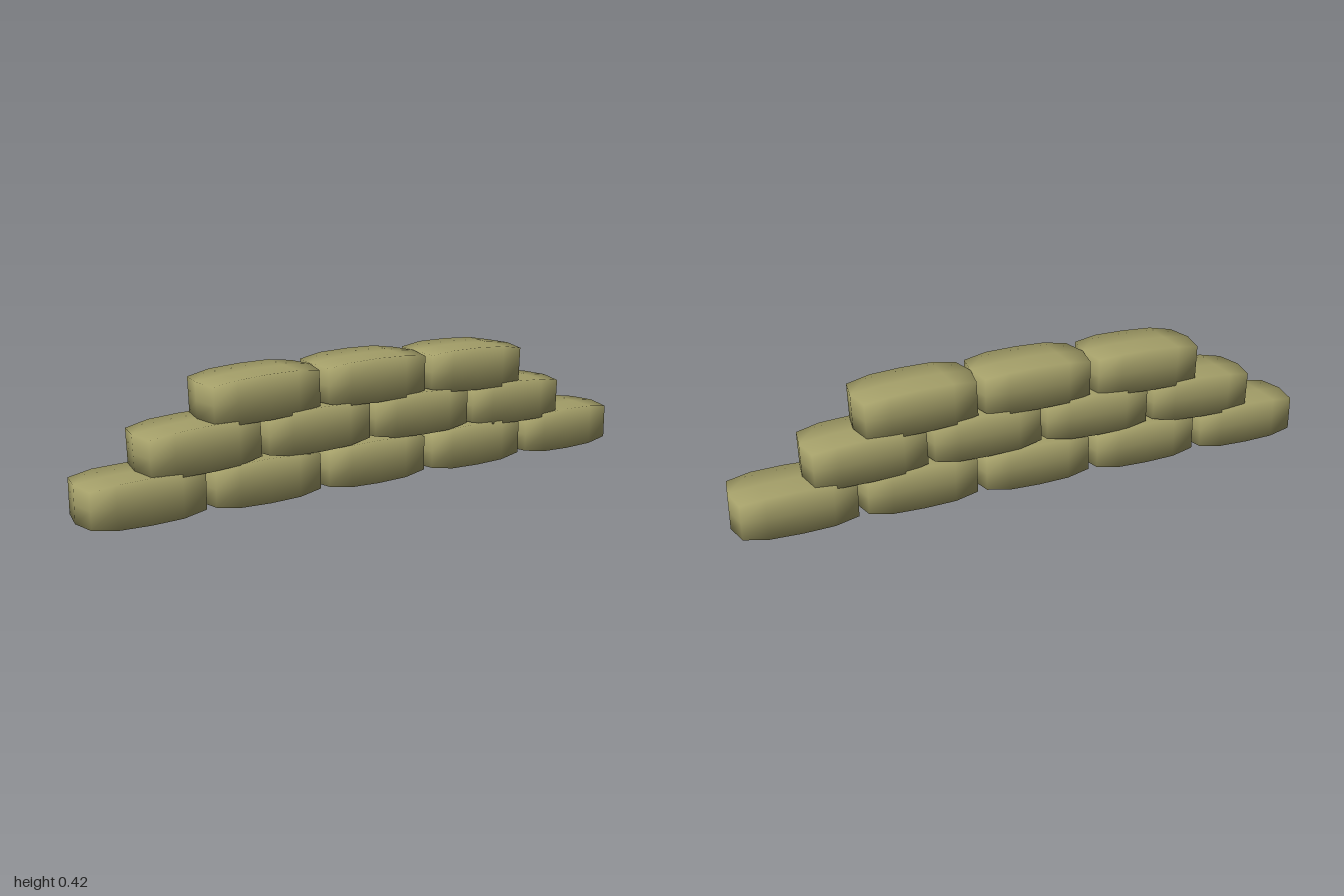
import * as THREE from 'three';
import { mergeVertices } from 'three/addons/utils/BufferGeometryUtils.js';

// One stuffed bag: a box that tapers to its ends, with the end faces bent outward
function bagGeometry() {
  const box = new THREE.BoxGeometry(2, 2, 2, 4, 2, 2);
  box.deleteAttribute('normal');
  box.deleteAttribute('uv');
  const geo = mergeVertices(box);
  const p = geo.attributes.position;
  const stations = [
    { x: 0, h: 0.0725, d: 0.1 },
    { x: 0.105, h: 0.0695, d: 0.1 },
    { x: 0.184, h: 0.0575, d: 0.091 },
  ];
  for (let i = 0; i < p.count; i++) {
    const x = p.getX(i), y = p.getY(i), z = p.getZ(i);
    const k = Math.round(Math.abs(x) * 2);
    const s = stations[k];
    const bulge = k === 2 ? 0.016 * (1 - Math.abs(z)) : 0;
    const crown = k === 2 ? 0.003 * (1 - Math.abs(z)) : 0;
    p.setXYZ(i, Math.sign(x) * (s.x + bulge), y * (s.h + crown), z * s.d);
  }
  geo.computeVertexNormals();
  return geo;
}

export function createModel() {
  const group = new THREE.Group();
  group.name = 'sandbagWall';
  const canvas = new THREE.MeshStandardMaterial({ name: 'olive canvas', color: 0xa39e68 });
  const geo = bagGeometry();

  // Each bag: [x, y, tilt]
  const rows = {
    bottom: [-0.8, -0.4, 0, 0.4, 0.8].map((x) => [x, 0.0725, 0]),
    middle: [[-0.61, 0.205, 0.035], [-0.215, 0.212, 0.012], [0.175, 0.212, -0.012], [0.567, 0.202, -0.03]],
    top: [[-0.4, 0.339, 0.03], [0, 0.345, 0], [0.396, 0.337, -0.035]],
  };
  for (const [name, bags] of Object.entries(rows)) {
    const row = new THREE.Group();
    row.name = name + 'Row';
    for (const [x, y, tilt] of bags) {
      const bag = new THREE.Mesh(geo, canvas);
      bag.name = 'sandbag';
      bag.position.set(x, y, 0);
      bag.rotation.z = tilt;
      row.add(bag);
    }
    group.add(row);
  }
  return group;
}
